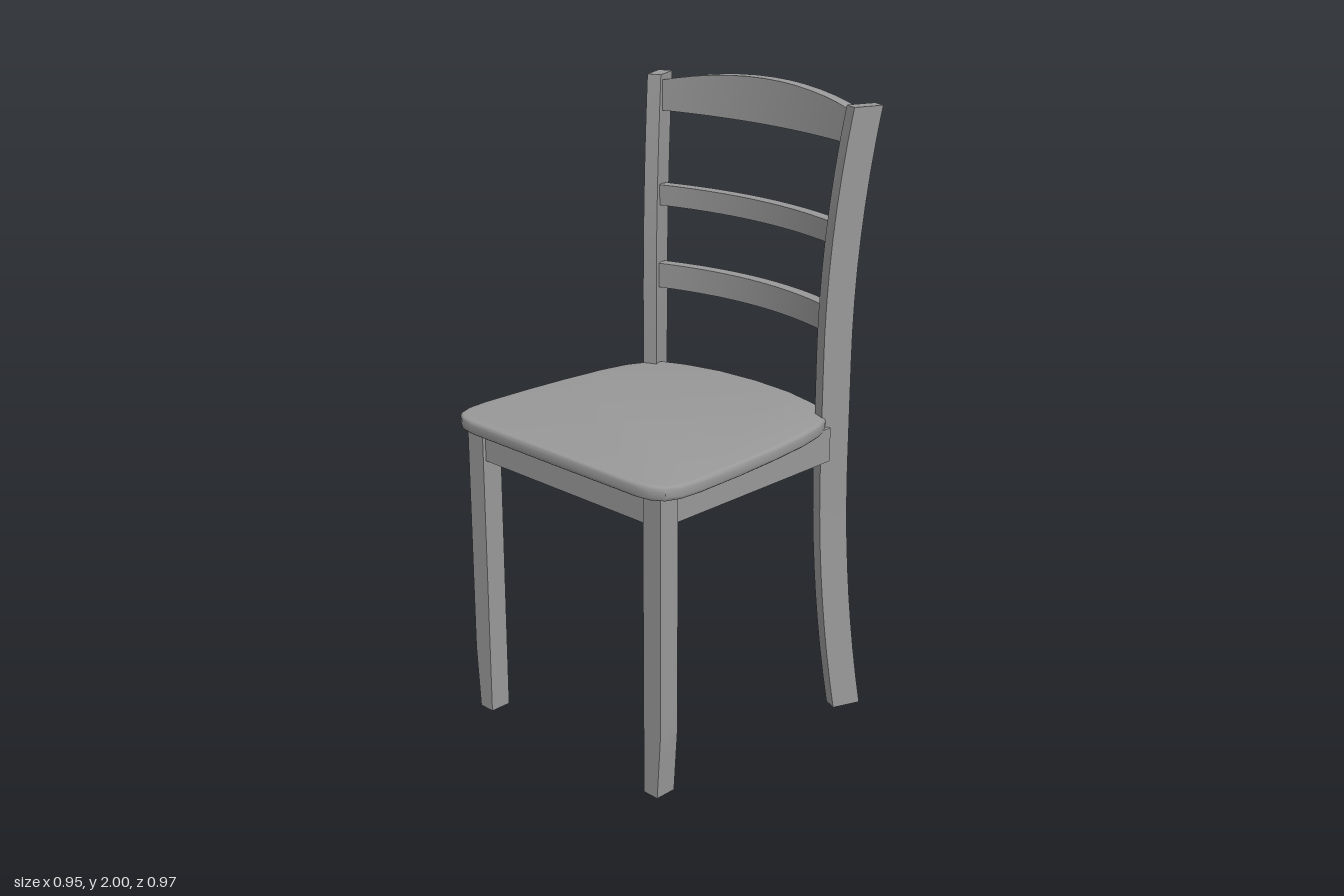
import * as THREE from 'three';
import { toCreasedNormals } from 'three/addons/utils/BufferGeometryUtils.js';

const grey = new THREE.MeshStandardMaterial({ color: 0x999999 });
grey.name = 'grey paint';

// Move every vertex of a geometry by a rule
function warp(geometry, rule) {
  const p = geometry.attributes.position;
  const v = new THREE.Vector3();
  for (let i = 0; i < p.count; i++) {
    v.fromBufferAttribute(p, i);
    rule(v);
    p.setXYZ(i, v.x, v.y, v.z);
  }
  return geometry;
}

export function createModel() {
  const chair = new THREE.Group();
  chair.name = 'chair';

  function add(name, geometry, x = 0, y = 0, z = 0) {
    const mesh = new THREE.Mesh(toCreasedNormals(geometry, 0.6), grey);
    mesh.name = name;
    mesh.position.set(x, y, z);
    chair.add(mesh);
  }

  // Seat: rounded outline with softened edges
  const half = [
    [0.36, 0.481], [0.41, 0.472], [0.448, 0.447], [0.467, 0.4], [0.473, 0.33],
    [0.469, 0.15], [0.46, 0], [0.445, -0.15], [0.425, -0.25], [0.4, -0.305],
    [0.36, -0.36], [0.28, -0.395], [0.15, -0.425],
  ];
  const outline = [
    [0, 0.482], ...half, [0, -0.435],
    ...half.map(([x, z]) => [-x, z]).reverse(),
  ].map(([x, z]) => new THREE.Vector2(x, z));
  const seat = new THREE.ExtrudeGeometry(new THREE.Shape(outline), {
    depth: 0.021, bevelThickness: 0.012, bevelSize: 0.012, bevelOffset: -0.012, bevelSegments: 3,
  });
  seat.rotateX(Math.PI / 2);
  add('seat', seat, 0, 1.006, 0);

  for (const side of [1, -1]) {
    const label = side > 0 ? 'left' : 'right';

    // Back post: turned outward, bending back at both ends
    const post = new THREE.BoxGeometry(0.047, 1.975, 0.096, 1, 20, 1);
    post.rotateY(-0.385 * side);
    post.translate(0, 0.9875, 0);
    warp(post, (v) => {
      const t = v.y < 0.87 ? (0.87 - v.y) / 0.87 : Math.max(0, (v.y - 1.2) / 0.775);
      v.x += side * (0.387 + 0.037 * t * t);
      v.z -= 0.353 + 0.06 * t * t;
    });
    add(label + 'BackPost', post);

    // Front leg: outer face tapers in at the foot
    const leg = new THREE.BoxGeometry(0.07, 0.98, 0.072, 1, 14, 1);
    leg.translate(0.387 * side, 0.49, 0.405);
    warp(leg, (v) => {
      if (v.x * side > 0.4) v.x -= side * 0.014 * Math.max(0, 1 - v.y / 0.21);
    });
    add(label + 'FrontLeg', leg);

    add(label + 'Apron', new THREE.BoxGeometry(0.04, 0.11, 0.71), 0.39 * side, 0.93, 0.035);
  }

  // Front and back aprons
  add('frontApron', new THREE.BoxGeometry(0.72, 0.11, 0.04), 0, 0.93, 0.41);
  add('backApron', new THREE.BoxGeometry(0.75, 0.11, 0.04), 0, 0.93, -0.345);

  // Bowed back rails: name, half width, bottom, height, middle z, bow, arch drop
  const rails = [
    ['lowerSlat', 0.365, 1.28, 0.082, -0.423, 0.065, 0],
    ['middleSlat', 0.372, 1.555, 0.068, -0.43, 0.06, 0],
    ['topRail', 0.4, 1.86, 0.14, -0.455, 0.056, 0.045],
  ];
  for (const [name, w, bottom, h, z, bow, drop] of rails) {
    const rail = new THREE.BoxGeometry(w * 2, h, 0.042, 12, 1, 1);
    warp(rail, (v) => {
      const t = (v.x / w) ** 2;
      const top = v.y > 0;
      v.z += bow * t - (drop && top ? 0.01 : 0);
      if (top) v.y -= drop * t;
    });
    add(name, rail, 0, bottom + h / 2, z);
  }

  return chair;
}
